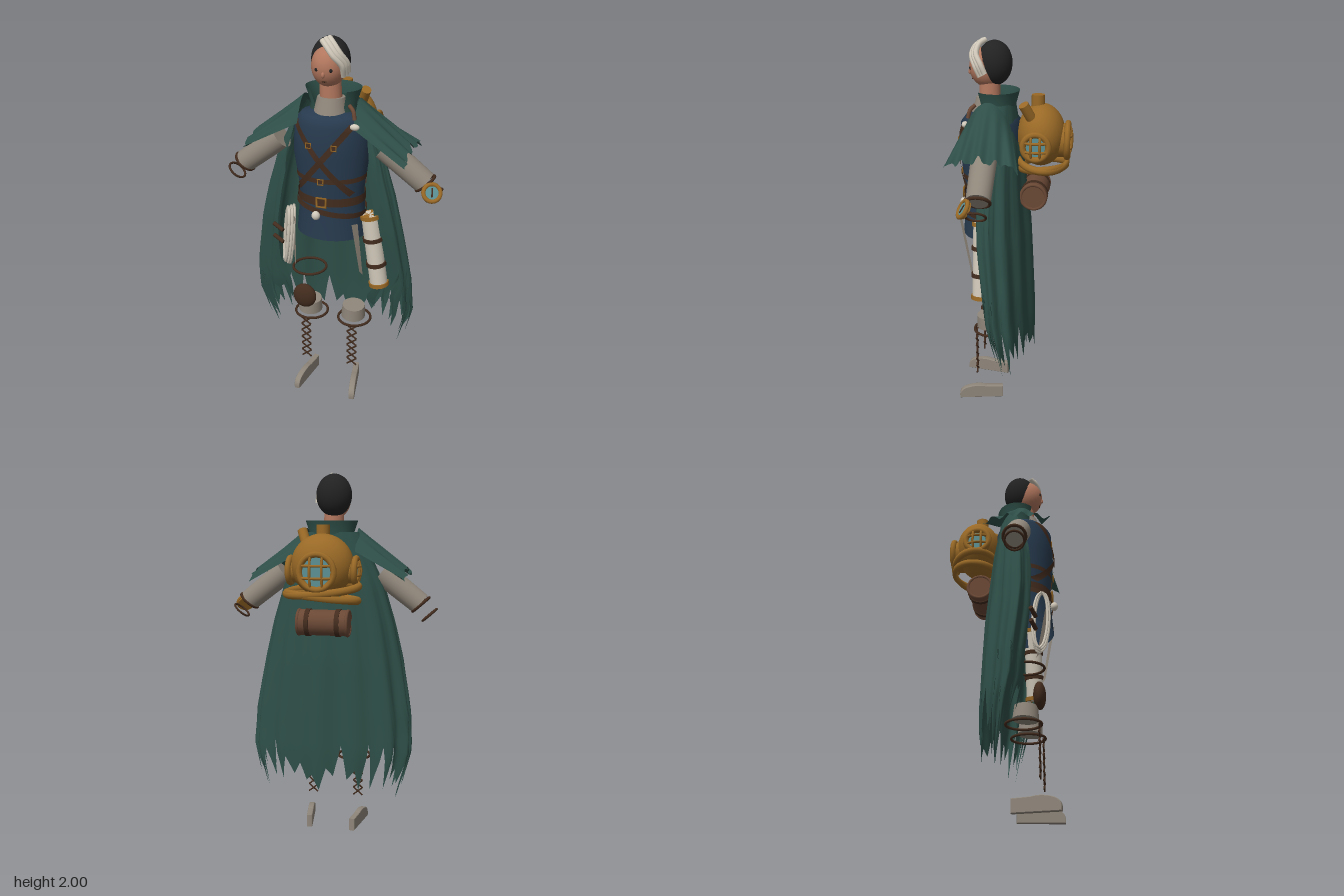
import * as THREE from 'three';

const V = (x, y, z) => new THREE.Vector3(x, y, z);
const paint = (name, color, both) => Object.assign(
  new THREE.MeshStandardMaterial({ color, ...(both ? { side: THREE.DoubleSide } : {}) }), { name });
const M = {
  cape: paint('cape green', 0x2e4e47, true), tunic: paint('tunic blue', 0x273a4e, true),
  linen: paint('grey linen', 0x8f867a, true), cream: paint('cream cloth', 0xd0c8b9),
  brass: paint('brass', 0x996926), strap: paint('dark leather', 0x432c1e, true),
  leather: paint('brown leather', 0x6a4835), skin: paint('skin', 0xb2775e),
  hair: paint('black hair', 0x222222), glass: paint('teal glass', 0x5b9093),
};

// Piecewise-linear lookup in rows of [key, value], keys descending
function look(rows, k) {
  if (k >= rows[0][0]) return rows[0][1];
  for (let i = 1; i < rows.length; i++) {
    const [a, p] = rows[i - 1], [b, q] = rows[i];
    if (k >= b) return q + (p - q) * (k - b) / (a - b);
  }
  return rows[rows.length - 1][1];
}
// Surface swept from f(u, v), both 0..1
function grid(nu, nv, f) {
  const pos = [], idx = [];
  for (let i = 0; i <= nu; i++) for (let j = 0; j <= nv; j++) pos.push(...f(i / nu, j / nv).toArray());
  for (let i = 0; i < nu; i++) for (let j = 0; j < nv; j++) {
    const a = i * (nv + 1) + j, b = a + nv + 1;
    idx.push(a, a + 1, b, b, a + 1, b + 1);
  }
  const g = new THREE.BufferGeometry();
  g.setAttribute('position', new THREE.Float32BufferAttribute(pos, 3));
  g.setIndex(idx);
  g.computeVertexNormals();
  return g;
}
function add(parent, name, geo, mat, x = 0, y = 0, z = 0) {
  const m = new THREE.Mesh(geo, mat);
  m.name = name;
  m.position.set(x, y, z);
  parent.add(m);
  return m;
}
const ball = (p, n, mat, c, r) => {
  const m = add(p, n, new THREE.SphereGeometry(1, 32, 20), mat, ...c);
  m.scale.set(...r);
  return m;
};
const aim = (m, from, dir) => (m.quaternion.setFromUnitVectors(from, dir.clone().normalize()), m);
// Cylinder between two points
function rod(p, n, mat, a, b, r0, r1 = r0) {
  const d = b.clone().sub(a), c = a.clone().add(b).multiplyScalar(0.5);
  return aim(add(p, n, new THREE.CylinderGeometry(r1, r0, d.length(), r0 < 0.01 ? 6 : 24), mat, c.x, c.y, c.z), V(0, 1, 0), d);
}
// Ring whose axis points along dir
const ring = (p, n, mat, c, dir, R, t) =>
  aim(add(p, n, new THREE.TorusGeometry(R, t, 8, 32), mat, c.x, c.y, c.z), V(0, 0, 1), dir);
const tube = (p, n, mat, pts, r, closed = false) =>
  add(p, n, new THREE.TubeGeometry(new THREE.CatmullRomCurve3(pts, closed), 40, r, 8, closed), mat);

let seed = 29;
const rnd = () => (seed = (seed * 16807) % 2147483647) / 2147483647;

const TORSO = [[1.64, 0.07], [1.62, 0.15], [1.58, 0.187], [1.42, 0.195], [1.22, 0.168], [1.1, 0.174], [0.98, 0.186]];
const TZ = 0.125, FLAT = 0.82;
const front = (x, y) => TZ + FLAT * Math.sqrt(Math.max(0, look(TORSO, y) ** 2 - x * x));

function buildCape(g) {
  const width = [[1.68, 0.14], [1.6, 0.18], [1.5, 0.23], [1.4, 0.275], [1.2, 0.335], [1, 0.38], [0.7, 0.43], [0.5, 0.44], [0.2, 0.36]];
  const wrap = [[1.68, 95], [1.5, 122], [1.3, 134], [1, 134], [0.75, 138], [0.6, 152]];
  const back = [[1.68, 0], [1.4, -0.045], [1, -0.085], [0.5, -0.105], [0.2, -0.1]];
  const fore = [[1.68, 0.16], [1.4, 0.2], [1, 0.195], [0.6, 0.14], [0.4, 0.08], [0.2, 0.03]];
  // Torn hem: each tooth has a tip between two notches
  const tipAt = [[1, 0.56], [0.88, 0.48], [0.72, 0.27], [0.5, 0.3], [0.4, 0.36], [0, 0.35]];
  const notchAt = [[1, 0.66], [0.8, 0.58], [0.5, 0.47], [0, 0.45]];
  const N = 28, tips = [], notches = [];
  for (let i = 0; i <= N; i++) {
    const e = Math.abs((i + 0.5) / N * 2 - 1);
    tips.push(look(tipAt, e) + (rnd() - 0.5) * 0.13);
    notches.push(look(notchAt, e) + (rnd() - 0.5) * 0.2);
  }
  const hem = u => {
    const s = Math.min(u * N, N - 1e-6), i = Math.floor(s), t = s - i, k = Math.abs(2 * t - 1);
    return tips[i] + (notches[t < 0.5 ? i : i + 1] - tips[i]) * k;
  };
  add(g, 'cape', grid(N * 6, 28, (u, v) => {
    const y = 1.68 + (hem(u) - 1.68) * v, a = (u * 2 - 1) * look(wrap, y) * Math.PI / 180;
    const b = look(back, y), f = look(fore, y), d = (f - b) / 2;
    const fold = 0.012 * Math.min(1, v * 1.5) * (Math.sin(a * 13) + 0.5 * Math.sin(a * 7 + 1));
    const forward = 0.04 * Math.min(1, v * 2) * Math.sin(a) ** 2;
    return V(-0.01 + (look(width, y) + fold) * Math.sin(a), y, (b + f) / 2 + forward - (d + fold * 0.7) * Math.cos(a));
  }), M.cape);

  // Shoulder mantles, arched over the shoulder, with rippled, torn outer edges
  for (const s of [-1, 1]) {
    add(g, s > 0 ? 'leftMantle' : 'rightMantle', grid(16, 60, (u, v) => {
      const w = v * 2 - 1, torn = 0.95 + 0.05 * Math.sin(v * 37 + s) * Math.sin(v * 17 + 2);
      const k = u * torn, wave = Math.sin(w * 15 + s) * 0.014 * k;
      const sag = w * w * (0.085 * (1 - k) + 0.035);
      return V(s * (0.142 + 0.283 * k), 1.7 - 0.235 * k - sag + wave, 0.12 + w * (0.115 + 0.068 * k));
    }), M.cape);
  }
  const collar = add(g, 'collar', new THREE.LatheGeometry(
    [[0.13, 1.58], [0.115, 1.66], [0.142, 1.74]].map(p => new THREE.Vector2(...p)), 40, 0.7, Math.PI * 2 - 1.4), M.cape, 0, 0, 0.09);
  collar.scale.z = 0.8;
}

function buildHead(g) {
  rod(g, 'neck', M.skin, V(0, 1.66, 0.13), V(-0.005, 1.8, 0.13), 0.056, 0.052);
  rod(g, 'shirtNeck', M.linen, V(0, 1.57, 0.14), V(0, 1.7, 0.13), 0.1, 0.068);
  ball(g, 'head', M.skin, [-0.007, 1.853, 0.14], [0.085, 0.102, 0.094]);
  ball(g, 'hair', M.hair, [-0.009, 1.873, 0.105], [0.096, 0.112, 0.09]);
  ball(g, 'nose', M.skin, [-0.008, 1.828, 0.23], [0.009, 0.015, 0.01]);
  for (const x of [-0.042, 0.028]) ball(g, 'eye', M.hair, [x, 1.85, 0.224], [0.009, 0.009, 0.005]);
  ball(g, 'mouth', M.strap, [-0.007, 1.793, 0.217], [0.012, 0.004, 0.004]);
  // Bandage slanting over one eye
  for (let i = 0; i < 3; i++) {
    const o = (i - 1) * 0.22;
    const pts = [[-0.1, 0.97, 0.35], [0.2, 0.78, 0.62], [0.55, 0.42, 0.72], [0.88, 0, 0.5], [0.93, -0.45, 0.3]].map(([x, y, z]) => {
      const d = V(x + o * 0.65, y + o * 0.2, z - o * 0.5).normalize();
      return V(-0.006 + d.x * 0.102, 1.872 + d.y * 0.119, 0.125 + d.z * 0.106);
    });
    tube(g, 'bandage', M.cream, pts, 0.014);
  }
}

function buildBody(g) {
  const t = add(g, 'tunic', new THREE.LatheGeometry(
    TORSO.slice().reverse().map(([y, r]) => new THREE.Vector2(r, y)), 48), M.tunic, 0, 0, TZ);
  t.scale.z = FLAT;
  const belt = (name, y, h, tilt, grow) => {
    const r = look(TORSO, y) + grow;
    const m = add(g, name, new THREE.CylinderGeometry(r, r, h, 48, 1, true), M.strap, 0, y, TZ);
    m.scale.z = FLAT;
    m.rotation.z = tilt;
  };
  belt('chestBelt', 1.305, 0.025, 0, 0.002);
  belt('waistBelt', 1.19, 0.045, 0, 0.007);
  belt('hipBelt', 1.135, 0.03, -0.15, 0.012);
  const buckle = (x, y, r) => {
    const b = add(g, 'buckle', new THREE.TorusGeometry(r, r * 0.22, 4, 4).rotateZ(Math.PI / 4), M.brass, x, y, front(x, y) + 0.012);
    b.scale.z = 0.6;
  };
  buckle(-0.01, 1.305, 0.02); buckle(-0.01, 1.19, 0.034); buckle(-0.07, 1.49, 0.018); buckle(0.06, 1.49, 0.018);
  // Crossed chest straps
  for (const s of [-1, 1]) add(g, 'crossStrap', grid(24, 1, (u, v) => {
    const x = s * (0.145 - 0.29 * u) - 0.01 + (v - 0.5) * 0.024, y = 1.59 - 0.36 * u + s * (0.5 - v) * 0.018;
    return V(x, y, front(x, y) + 0.009);
  }), M.strap);
  ball(g, 'pouch', M.cream, [-0.035, 1.12, 0.285], [0.022, 0.024, 0.02]);
  ball(g, 'shoulderCharm', M.cream, [0.15, 1.59, 0.235], [0.024, 0.016, 0.016]);
  tube(g, 'shoulderCord', M.leather, [V(0.11, 1.68, 0.19), V(0.135, 1.66, 0.21), V(0.145, 1.62, 0.22)], 0.01);

  for (const s of [-1, 1]) {
    rod(g, s > 0 ? 'leftSleeve' : 'rightSleeve', M.linen, V(s * 0.27, 1.463, 0.12), V(s * 0.48, 1.3, 0.12), 0.065, 0.06);
    const axis = V(s * 0.66, -0.75, 0);
    ring(g, 'cuffRing', M.strap, V(s * 0.482, 1.297, 0.12), axis, 0.057, 0.008);
    ring(g, 'wristRing', M.strap, V(s * 0.53, 1.242, 0.125), axis, 0.049, 0.006);
    // Torn cloth strip hanging from the hip
    add(g, 'clothStrip', grid(2, 10, (u, v) => V(s * (0.163 + 0.02 * v + (u - 0.5) * 0.026 * (1 - v * 0.5)),
      1.09 - (0.3 + 0.03 * u) * v, 0.275 - 0.06 * v - 0.02 * u)), M.linen);
  }
  // Wrist compass
  const c = new THREE.Group();
  c.name = 'compass';
  c.position.set(0.525, 1.275, 0.178);
  add(c, 'compassCase', new THREE.CylinderGeometry(0.044, 0.044, 0.02, 28).rotateX(Math.PI / 2), M.brass);
  add(c, 'compassRim', new THREE.TorusGeometry(0.042, 0.011, 8, 28), M.brass, 0, 0, 0.008);
  add(c, 'compassFace', new THREE.CircleGeometry(0.033, 28), M.glass, 0, 0, 0.011);
  add(c, 'compassNeedle', new THREE.BoxGeometry(0.007, 0.045, 0.004), M.strap, 0, 0, 0.013);
  g.add(aim(c, V(0, 0, 1), V(0.36, 0.5, 0.78)));

  // Coiled rope at the right hip
  for (let i = 0; i < 5; i++) {
    const pts = [];
    for (let k = 0; k < 12; k++) {
      const a = k * Math.PI / 6, h = Math.sin(a) * (0.165 + i * 0.004), w = Math.cos(a);
      pts.push(V(-0.208 + h * 0.12 + w * 0.022 + (i - 2) * 0.008, 0.955 + h, 0.22 + w * 0.036 + h * 0.06 + (i % 2) * 0.008));
    }
    tube(g, 'ropeCoil', M.cream, pts, 0.007, true);
  }
  for (const y of [0.975, 0.905]) rod(g, 'capeToggle', M.strap, V(-0.31, y + 0.01, 0.18), V(-0.25, y - 0.015, 0.2), 0.011);

  // Map case at the left hip
  const top = V(0.21, 1.1, 0.145), low = V(0.268, 0.69, 0.148), at = k => top.clone().lerp(low, k);
  rod(g, 'mapCase', M.cream, low, top, 0.047);
  for (const [a, b, m, n] of [[0, 0.05, M.brass, 'caseCap'], [0.95, 1, M.brass, 'caseCap'], [0.31, 0.36, M.strap, 'caseBand'], [0.66, 0.71, M.strap, 'caseBand']])
    rod(g, n, m, at(b), at(a), 0.054);
}

function buildLegs(g) {
  ring(g, 'thighStrap', M.strap, V(-0.125, 0.73, 0.14), V(0, 1, 0), 0.09, 0.007);
  ball(g, 'kneePad', M.strap, [-0.135, 0.577, 0.203], [0.065, 0.072, 0.032]);
  for (const s of [-1, 1]) {
    const x = s * 0.125;
    rod(g, 'kneeCuff', M.linen, V(x - 0.004, 0.455, 0.13), V(x, 0.525, 0.135), 0.066, 0.061);
    ring(g, 'shinStrap', M.strap, V(x, 0.435, 0.12), V(0, 1, 0), 0.09, 0.007);
    for (let i = 0; i < 6; i++) for (const d of [-1, 1]) {
      const y = 0.165 + i * 0.044;
      rod(g, 'bootLace', M.strap, V(s * 0.133 - d * 0.027, y, 0.197), V(s * 0.133 + d * 0.027, y + 0.044, 0.2), 0.0045);
    }
    // Slim shoe with a rounded toe, turned outward
    const sh = new THREE.Shape();
    sh.moveTo(-0.12, 0);
    sh.lineTo(0.118, 0);
    sh.quadraticCurveTo(0.125, 0.045, 0.085, 0.06);
    sh.quadraticCurveTo(0.03, 0.08, -0.03, 0.067);
    sh.lineTo(-0.12, 0.064);
    const geo = new THREE.ExtrudeGeometry(sh, { depth: 0.014, bevelSize: 0.004, bevelThickness: 0.009, bevelSegments: 3, curveSegments: 8 });
    const shoe = add(g, s > 0 ? 'leftShoe' : 'rightShoe', geo.translate(0, 0.004, -0.007).rotateY(-Math.PI / 2), M.linen, s * 0.143, 0, 0.178);
    shoe.rotation.y = s * 0.16;
  }
}

function buildPack(g) {
  ball(g, 'helmet', M.brass, [0, 1.515, -0.135], [0.163, 0.16, 0.125]);
  rod(g, 'topValve', M.brass, V(0, 1.64, -0.118), V(0, 1.72, -0.118), 0.034);
  rod(g, 'sidePipe', M.brass, V(0.08, 1.58, -0.11), V(0.125, 1.69, -0.055), 0.026);
  // Two crossing pipes around the helmet's base
  for (const [y, tilt, roll, w] of [[1.39, -0.12, -0.1, 1], [1.355, 0.05, 0.1, 0.98]]) {
    const r = add(g, 'collarPipe', new THREE.TorusGeometry(0.19, 0.02, 10, 48).rotateX(Math.PI / 2), M.brass, 0, y, -0.145);
    r.scale.set(w, 1, 0.67 * w);
    r.rotation.set(tilt, 0, roll);
  }
  // Round caged windows
  const port = (c, dir, R) => {
    const p = new THREE.Group();
    p.name = 'porthole';
    p.position.copy(c);
    add(p, 'portRim', new THREE.TorusGeometry(R, 0.016, 8, 32), M.brass);
    add(p, 'portTube', new THREE.CylinderGeometry(R, R, 0.05, 32, 1, true).rotateX(Math.PI / 2), M.brass, 0, 0, -0.025);
    add(p, 'portGlass', new THREE.CircleGeometry(R, 32), M.glass);
    for (const o of [-0.35, 0.35]) for (const s of [0, 1]) {
      const pts = [-0.93, -0.6, 0, 0.6, 0.93].map(k => s ? V(k * R, o * R, 0.022 * (1 - k * k)) : V(o * R, k * R, 0.022 * (1 - k * k)));
      tube(p, 'portBar', M.brass, pts, 0.007);
    }
    g.add(aim(p, V(0, 0, 1), dir));
  };
  port(V(0.172, 1.487, -0.12), V(1, 0, 0), 0.064);
  port(V(-0.172, 1.487, -0.12), V(-1, 0, 0), 0.064);
  port(V(0, 1.487, -0.272), V(0, 0, -1), 0.088);
  // Bedroll
  rod(g, 'bedroll', M.leather, V(-0.135, 1.215, -0.108), V(0.135, 1.215, -0.108), 0.068);
  for (const x of [-0.08, 0.08]) rod(g, 'bedrollStrap', M.strap, V(x - 0.012, 1.215, -0.108), V(x + 0.012, 1.215, -0.108), 0.073);
  for (const s of [-1, 1]) ring(g, 'bedrollEdge', M.leather, V(s * 0.13, 1.215, -0.108), V(1, 0, 0), 0.064, 0.009);
}

export function createModel() {
  const model = new THREE.Group();
  model.name = 'cloakedTraveller';
  for (const [name, build] of Object.entries({ cloak: buildCape, headGroup: buildHead, body: buildBody, legs: buildLegs, backpack: buildPack })) {
    const g = new THREE.Group();
    g.name = name;
    build(g);
    model.add(g);
  }
  return model;
}
